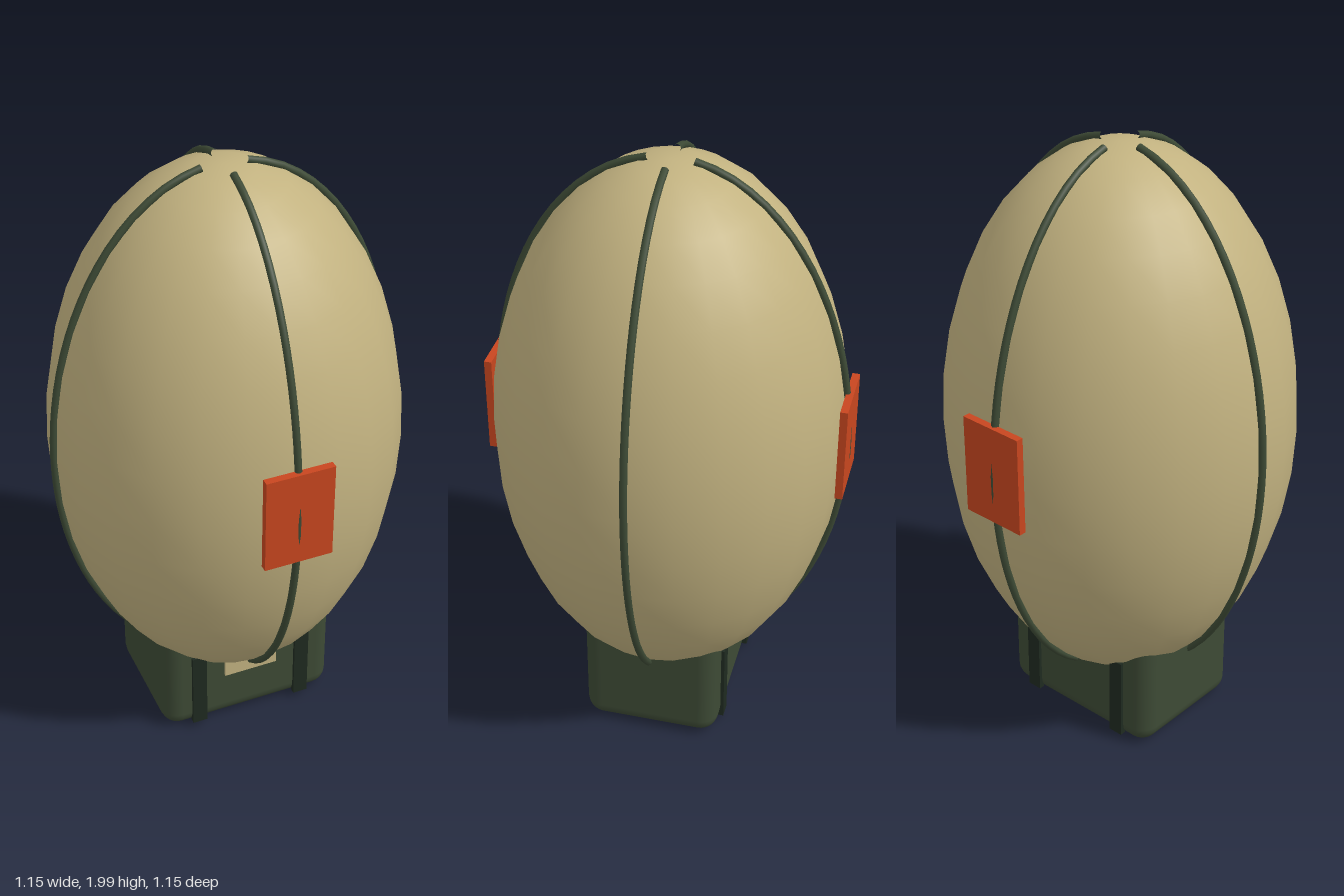
import * as THREE from 'three';
import { RoundedBoxGeometry } from 'three/addons/geometries/RoundedBoxGeometry.js';

const CENTER_Y = 1.075;

function material(name, color) {
  const m = new THREE.MeshStandardMaterial({ color });
  m.name = name;
  return m;
}

export function createModel() {
  const model = new THREE.Group();
  model.name = 'balloonWithCrate';
  const sand = material('sand', 0xc2b280);
  const green = material('darkGreen', 0x3d4a35);
  const black = material('blackGreen', 0x1f2a20);
  const orange = material('orangeRed', 0xc8461f);

  function add(name, geometry, mat, x = 0, y = 0, z = 0) {
    const mesh = new THREE.Mesh(geometry, mat);
    mesh.name = name;
    mesh.position.set(x, y, z);
    model.add(mesh);
    return mesh;
  }

  // Egg-shaped envelope
  const envelope = new THREE.SphereGeometry(1, 24, 18);
  envelope.scale(0.56, 0.911, 0.56);
  add('envelope', envelope, sand, 0, CENTER_Y, 0);

  // Four seam cords following the envelope, open near the pole
  const points = [];
  for (let i = 0; i <= 20; i++) {
    const a = THREE.MathUtils.lerp(0.125, Math.PI - 0.2, i / 20);
    points.push(new THREE.Vector3(0.565 * Math.sin(a), 0.917 * Math.cos(a), 0));
  }
  const cord = new THREE.TubeGeometry(new THREE.CatmullRomCurve3(points), 36, 0.012, 8);
  for (let i = 0; i < 4; i++) {
    add('seamCord', cord, green, 0, CENTER_Y, 0).rotation.y = i * Math.PI / 2;
  }

  // Square panels on the front and back
  for (const s of [1, -1]) {
    add('signalPanel', new THREE.BoxGeometry(0.22, 0.325, 0.024), orange, 0, 1.103, s * 0.563);
  }

  // Crate whose upper end sits inside the envelope
  add('crate', new RoundedBoxGeometry(0.605, 0.44, 0.45, 3, 0.06), green, 0, 0.225, 0);

  // Vertical straps on the front and back of the crate
  for (const s of [1, -1]) {
    for (const x of [-0.185, 0.185]) {
      add('strap', new THREE.BoxGeometry(0.05, 0.29, 0.02), black, x, 0.17, s * 0.226);
    }
  }

  // Pale plate on the crate front
  add('plate', new THREE.BoxGeometry(0.185, 0.09, 0.009), sand, 0, 0.243, 0.2285);

  return model;
}
